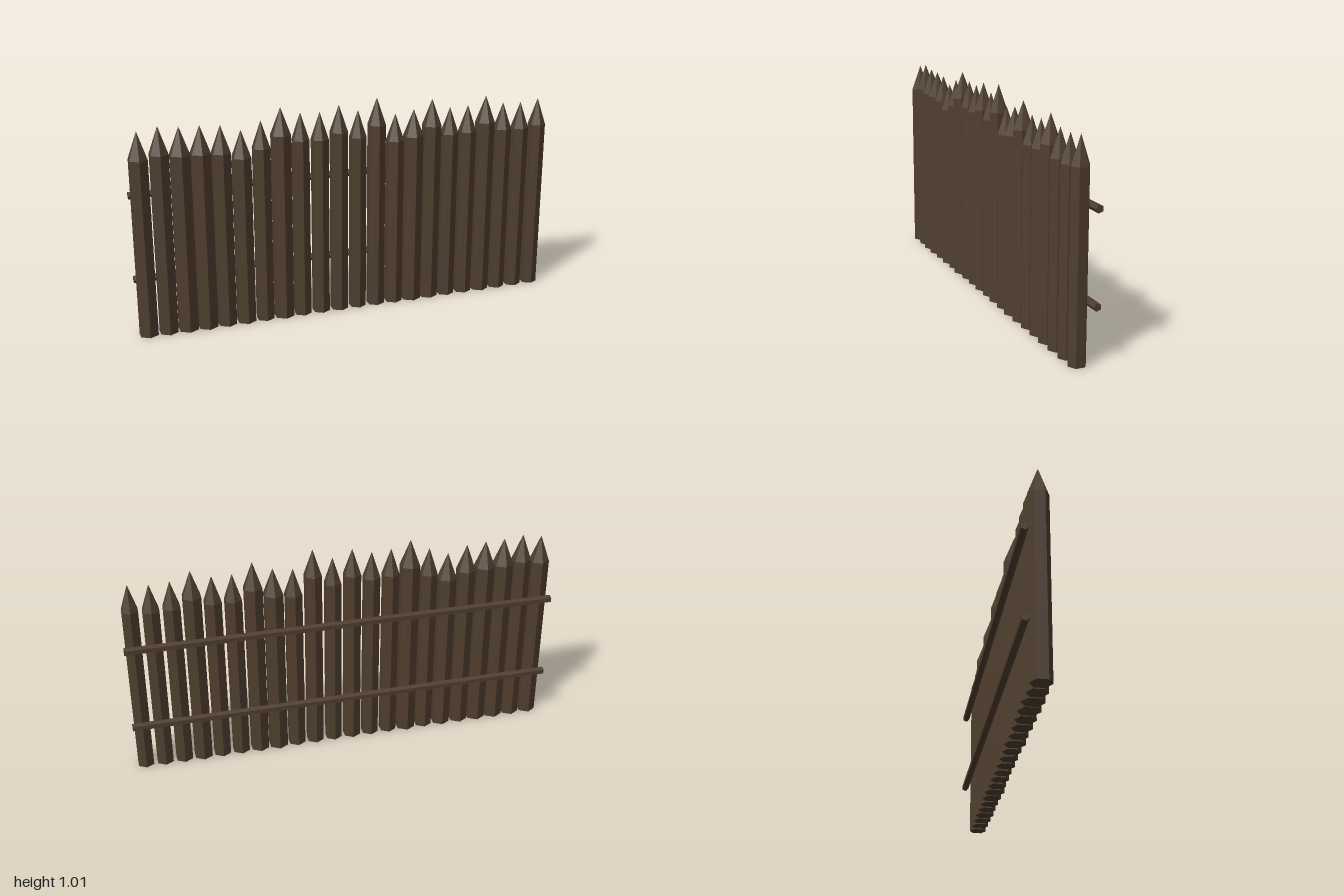
import * as THREE from 'three';

export function createModel() {
  const group = new THREE.Group();
  group.name = 'palisadeFence';
  const wood = new THREE.MeshStandardMaterial({ color: 0x4f3e2e });
  wood.name = 'dark wood';

  const add = (name, geometry, parent = group) => {
    const flat = geometry.toNonIndexed();
    flat.computeVertexNormals();
    const mesh = new THREE.Mesh(flat, wood);
    mesh.name = name;
    parent.add(mesh);
    return mesh;
  };

  // Hexagonal stakes with sharpened tips: [tip height, radius], from right to left
  const stakes = [
    [0.955, 0.046], [0.97, 0.046], [0.96, 0.049], [0.957, 0.049], [0.95, 0.046], [0.92, 0.046],
    [0.955, 0.043], [1.007, 0.048], [0.975, 0.042], [0.97, 0.042], [0.995, 0.043], [0.963, 0.041],
    [1.013, 0.043], [0.93, 0.043], [0.943, 0.048], [0.985, 0.046], [0.938, 0.043], [0.94, 0.043],
    [0.977, 0.046], [0.937, 0.043], [0.933, 0.042], [0.943, 0.041],
  ];
  const tip = 0.125;
  stakes.forEach(([height, radius], i) => {
    const stake = new THREE.Group();
    stake.name = `stake${i + 1}`;
    stake.position.set(-0.955 + i * 0.0909, 0, 0.015);
    group.add(stake);
    const body = height - tip;
    add('stakeBody', new THREE.CylinderGeometry(radius, radius, body, 6), stake).position.y = body / 2;
    add('stakeTip', new THREE.ConeGeometry(radius, tip, 6, 1, true), stake).position.y = body + tip / 2;
  });

  // Two five-sided rails across the back
  [['lowerRail', 0.25], ['upperRail', 0.65]].forEach(([name, y]) => {
    const rail = add(name, new THREE.CylinderGeometry(0.018, 0.018, 2, 5));
    rail.rotation.z = Math.PI / 2;
    rail.position.set(0, y, -0.049);
  });

  return group;
}
